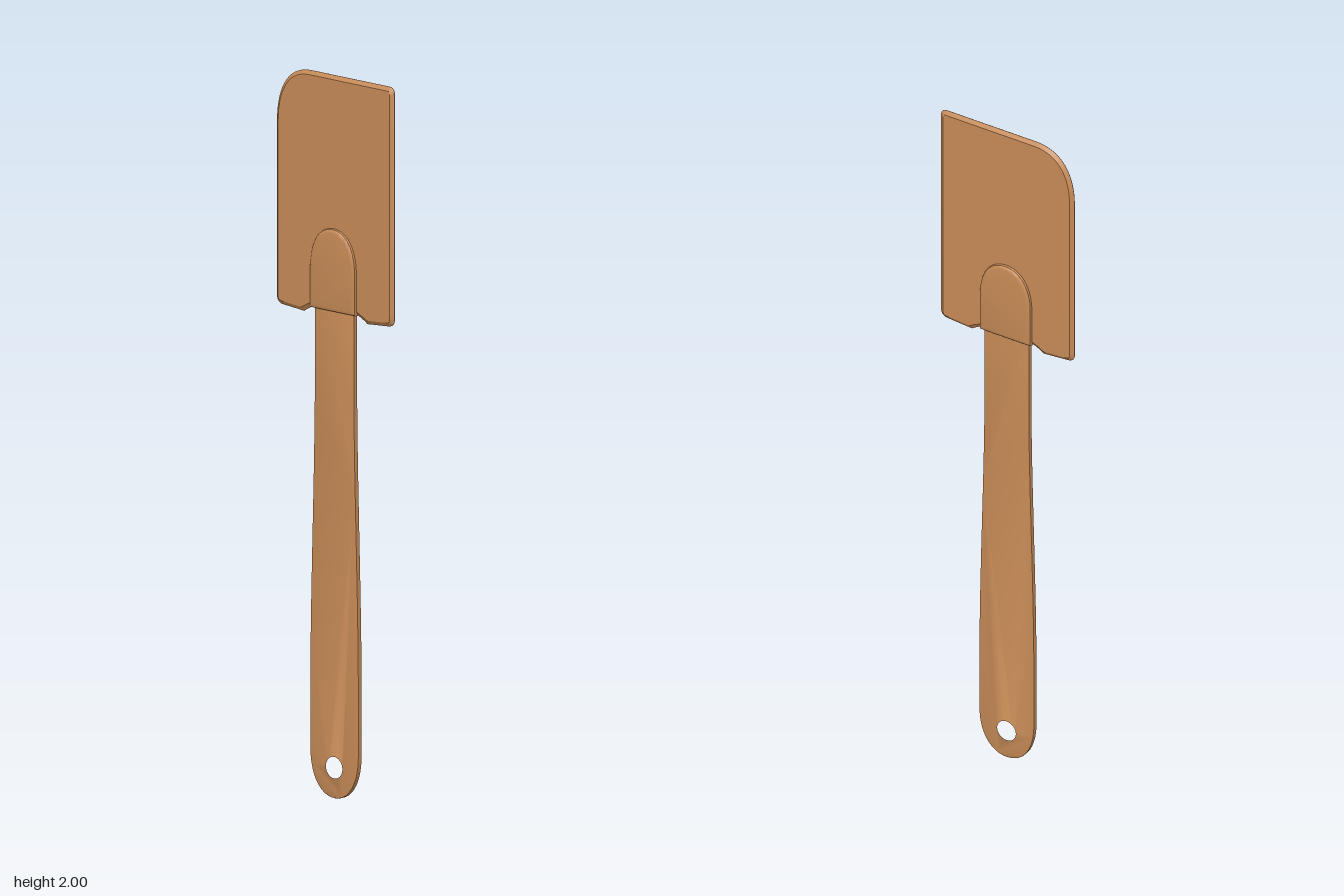
import * as THREE from 'three';
import { toCreasedNormals } from 'three/addons/utils/BufferGeometryUtils.js';

const material = new THREE.MeshStandardMaterial({ color: 0xc68a56 });

// Flat plate centred on z = 0; the bevel stays inside the drawn outline.
function plate(name, shape, halfThickness, bevel, bevelThickness, bevelSegments = 1) {
  const depth = 2 * (halfThickness - bevelThickness);
  const geometry = new THREE.ExtrudeGeometry(shape, {
    depth, bevelSize: bevel, bevelOffset: -bevel, bevelThickness, bevelSegments, curveSegments: 16,
  });
  geometry.translate(0, 0, -depth / 2);
  const mesh = new THREE.Mesh(toCreasedNormals(geometry, 0.5), material);
  mesh.name = name;
  return mesh;
}

// Blade: one broad rounded corner, the others tight, notched at the handle
function bladeShape() {
  const s = new THREE.Shape();
  s.moveTo(-0.07, 1.352);
  s.lineTo(0.07, 1.352);
  s.quadraticCurveTo(0.095, 1.344, 0.115, 1.33);
  s.lineTo(0.192, 1.336);
  s.quadraticCurveTo(0.214, 1.338, 0.214, 1.36);
  s.lineTo(0.214, 1.98);
  s.quadraticCurveTo(0.214, 2, 0.194, 2);
  s.lineTo(-0.09, 2);
  s.bezierCurveTo(-0.165, 2, -0.214, 1.945, -0.214, 1.84);
  s.lineTo(-0.214, 1.36);
  s.quadraticCurveTo(-0.214, 1.338, -0.192, 1.336);
  s.lineTo(-0.115, 1.33);
  s.quadraticCurveTo(-0.095, 1.344, -0.07, 1.352);
  return s;
}

// Socket: arched thickening where the handle enters the blade
function socketShape() {
  const s = new THREE.Shape();
  s.moveTo(-0.082, 1.348);
  s.lineTo(0.082, 1.348);
  s.lineTo(0.082, 1.46);
  s.bezierCurveTo(0.082, 1.535, 0.047, 1.577, 0, 1.577);
  s.bezierCurveTo(-0.047, 1.577, -0.082, 1.535, -0.082, 1.46);
  s.closePath();
  return s;
}

// Handle: widens gently towards a rounded end with a hanging hole
function handleShape() {
  const s = new THREE.Shape();
  s.moveTo(0.072, 1.4);
  s.lineTo(0.072, 1.1);
  s.bezierCurveTo(0.074, 0.85, 0.088, 0.55, 0.088, 0.3);
  s.lineTo(0.088, 0.13);
  s.bezierCurveTo(0.088, 0.05, 0.052, 0, 0, 0);
  s.bezierCurveTo(-0.052, 0, -0.088, 0.05, -0.088, 0.13);
  s.lineTo(-0.088, 0.3);
  s.bezierCurveTo(-0.088, 0.55, -0.074, 0.85, -0.072, 1.1);
  s.lineTo(-0.072, 1.4);
  s.closePath();
  const hole = new THREE.Path();
  hole.absarc(0, 0.085, 0.033, 0, Math.PI * 2, true);
  s.holes.push(hole);
  return s;
}

export function createModel() {
  const group = new THREE.Group();
  group.name = 'spatula';
  group.add(
    plate('blade', bladeShape(), 0.0085, 0.011, 0.008),
    plate('socket', socketShape(), 0.019, 0.01, 0.009, 3),
    plate('handle', handleShape(), 0.0075, 0.003, 0.003, 2),
  );
  return group;
}
